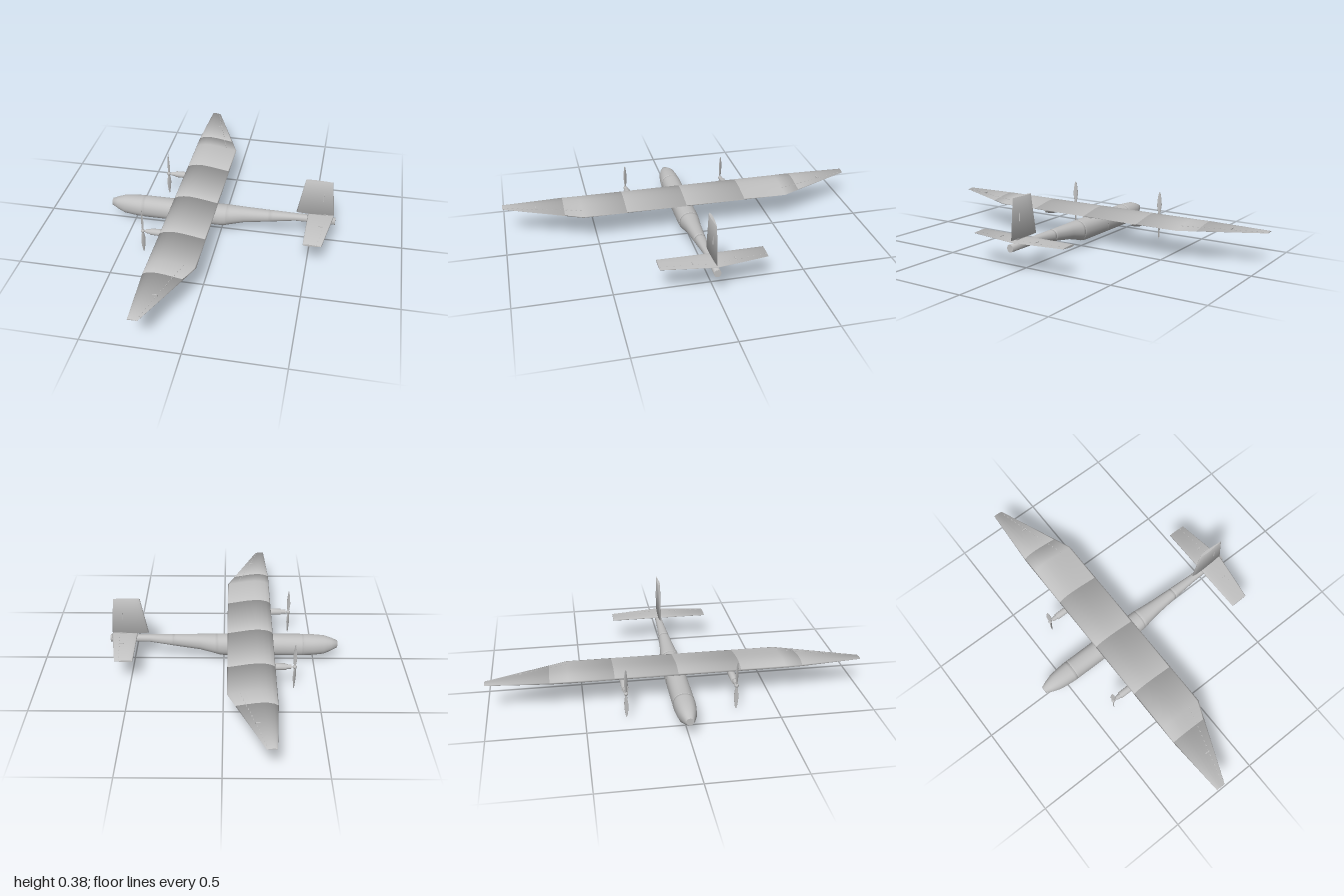
import * as THREE from 'three';

const grey = new THREE.MeshStandardMaterial({ color: 0xc0c0c0 });
grey.name = 'airframe grey';

// Closed skin through equal-sized rings of [x, y, z] points, with flat end caps.
// soften leans the normals at the two ends toward the caps.
function loft(rings, soften = 0) {
  const n = rings[0].length, last = rings.length - 1;
  const pos = rings.flat(), index = [];
  for (let r = 0; r < last; r++) {
    for (let i = 0; i < n; i++) {
      const a = r * n + i, b = r * n + (i + 1) % n;
      index.push(a, b, a + n, b, b + n, a + n);
    }
  }
  const centres = [];
  for (const r of [0, last]) {
    const c = pos.length;
    centres.push(c);
    pos.push([0, 1, 2].map(k => rings[r].reduce((s, p) => s + p[k], 0) / n), ...rings[r]);
    for (let i = 0; i < n; i++) {
      const a = c + 1 + i, b = c + 1 + (i + 1) % n;
      if (r) index.push(c, a, b); else index.push(c, b, a);
    }
  }
  // Turn the skin outward if its signed volume is negative
  const v = pos.map(p => new THREE.Vector3(...p));
  let volume = 0;
  for (let i = 0; i < index.length; i += 3) {
    volume += v[index[i]].dot(v[index[i + 1]].clone().cross(v[index[i + 2]]));
  }
  if (volume < 0) index.reverse();
  const g = new THREE.BufferGeometry();
  g.setAttribute('position', new THREE.Float32BufferAttribute(pos.flat(), 3));
  g.setIndex(index);
  g.computeVertexNormals();
  const N = g.attributes.normal;
  const m = new THREE.Vector3(), cap = new THREE.Vector3();
  centres.forEach((c, e) => {
    cap.fromBufferAttribute(N, c);
    for (let i = e * last * n; i < e * last * n + n; i++) {
      m.fromBufferAttribute(N, i).addScaledVector(cap, soften).normalize();
      N.setXYZ(i, m.x, m.y, m.z);
    }
  });
  return g;
}

function add(parent, name, geometry, x = 0, y = 0, z = 0) {
  const mesh = new THREE.Mesh(geometry, grey);
  mesh.name = name;
  mesh.position.set(x, y, z);
  parent.add(mesh);
  return mesh;
}

// Oval body along x; stations are [x, bottom, top, half width]
function hull(stations, soften, power = 1) {
  const bend = t => Math.sign(t) * Math.abs(t) ** power;
  return loft(stations.map(([x, lo, hi, w]) => Array.from({ length: 28 }, (_, i) => {
    const a = i / 28 * Math.PI * 2;
    return [x, (lo + hi) / 2 + (hi - lo) / 2 * bend(Math.sin(a)), w * bend(Math.cos(a))];
  })), soften);
}

// Aerofoil outline as [chord fraction, height in chords]
const wingFoil = [[0, 0], [0.02, 0.03], [0.1, 0.07], [0.22, 0.095], [0.36, 0.1], [0.55, 0.08],
  [0.78, 0.04], [0.97, 0.006], [1, 0], [0.97, -0.006], [0.75, -0.008], [0.45, -0.01],
  [0.2, -0.018], [0.06, -0.018]];
const tailFoil = [[0, 0], [0.03, 0.03], [0.15, 0.05], [0.35, 0.055], [0.65, 0.035], [0.97, 0.006],
  [1, 0], [0.97, -0.006], [0.65, -0.035], [0.35, -0.055], [0.15, -0.05], [0.03, -0.03]];

const lerp = THREE.MathUtils.lerp;
function wingRib(z) {
  const a = Math.abs(z);
  const lead = a < 0.67 ? -0.27 : lerp(-0.27, -0.25, (a - 0.67) / 0.33);
  const out = Math.max(0, (a - 0.575) / 0.425);
  const trail = lerp(-0.02, -0.2, out), y = lerp(0.163, 0.172, out);
  return wingFoil.map(([t, h]) => [lerp(lead, trail, t), y + h * (trail - lead), z]);
}

function propeller() {
  const group = new THREE.Group();
  group.name = 'propeller';
  // Blade stations: [radius, half chord, half thickness, pitch]
  const blade = loft([[0.004, 0.005, 0.004, 0.9], [0.03, 0.01, 0.003, 0.85], [0.06, 0.014, 0.0025, 0.75],
    [0.095, 0.011, 0.002, 0.65], [0.125, 0.006, 0.0015, 0.55], [0.136, 0.002, 0.001, 0.5]]
    .map(([r, c, t, p]) => Array.from({ length: 12 }, (_, i) => {
      const a = i / 12 * Math.PI * 2, u = c * Math.cos(a), w = t * Math.sin(a);
      return [u * Math.sin(p) + w * Math.cos(p), r, u * Math.cos(p) - w * Math.sin(p)];
    })));
  add(group, 'upperBlade', blade);
  add(group, 'lowerBlade', blade).rotation.x = Math.PI;
  add(group, 'spinner', new THREE.SphereGeometry(0.011, 16, 12));
  add(group, 'shaft', new THREE.CylinderGeometry(0.005, 0.005, 0.03, 12), 0.012).rotation.z = Math.PI / 2;
  return group;
}

export function createModel() {
  const plane = new THREE.Group();
  plane.name = 'twinPropPlane';

  // Fuselage, in five joined sections
  const body = [
    ['nose', [[-0.63, 0.079, 0.118, 0.019], [-0.595, 0.06, 0.132, 0.034], [-0.555, 0.042, 0.145, 0.047],
      [-0.5, 0.037, 0.149, 0.054], [-0.455, 0.034, 0.151, 0.057], [-0.44, 0.033, 0.151, 0.057]]],
    ['forwardFuselage', [[-0.44, 0.033, 0.151, 0.057], [-0.43, 0.033, 0.151, 0.057],
      [-0.21, 0.033, 0.151, 0.057], [-0.2, 0.033, 0.151, 0.057]]],
    ['midFuselage', [[-0.2, 0.033, 0.151, 0.057], [-0.19, 0.033, 0.151, 0.057],
      [0, 0.033, 0.151, 0.057], [0.025, 0.037, 0.151, 0.056], [0.035, 0.04, 0.151, 0.055]]],
    ['rearFuselage', [[0.035, 0.04, 0.151, 0.055], [0.05, 0.045, 0.151, 0.053], [0.13, 0.067, 0.151, 0.042],
      [0.26, 0.086, 0.151, 0.032], [0.275, 0.088, 0.151, 0.031]]],
    ['tailBoom', [[0.275, 0.088, 0.151, 0.031], [0.29, 0.091, 0.151, 0.03], [0.41, 0.111, 0.151, 0.022],
      [0.5, 0.111, 0.151, 0.019], [0.628, 0.111, 0.151, 0.018]]],
  ];
  for (const [name, stations] of body) add(plane, name, hull(stations, 0.5, 0.9));

  // Wing, in six panels from tip to tip
  const cuts = [[-1, -0.67], [-0.67, -0.575, -0.335], [-0.335, 0], [0, 0.335], [0.335, 0.575, 0.67], [0.67, 1]];
  cuts.forEach((zs, i) => add(plane, 'wingPanel' + (i + 1), loft(zs.map(wingRib), 0.8)));

  // Pylon saddle under the wing centre
  add(plane, 'wingSaddle', new THREE.BoxGeometry(0.19, 0.02, 0.05), -0.15, 0.153, 0);

  // Tailplane and fin
  add(plane, 'tailplane', loft([[-0.277, 0.575], [0, 0.618], [0.277, 0.575]].map(([z, trail]) =>
    tailFoil.map(([t, h]) => [lerp(0.478, trail, t), 0.158 + h * 0.1, z])), 0.7));
  add(plane, 'fin', loft([[0.167, 0.415, 0.618], [0.378, 0.455, 0.6]].map(([y, lead, trail]) =>
    tailFoil.map(([t, h]) => [lerp(lead, trail, t), y, h * 0.14])), 0.4));
  add(plane, 'finMount', new THREE.BoxGeometry(0.09, 0.02, 0.008), 0.53, 0.16, 0);
  for (const s of [-1, 1]) {
    add(plane, 'rudderHorn', new THREE.BoxGeometry(0.003, 0.045, 0.004), 0.556, 0.278, s * 0.007);
  }

  for (const s of [-1, 1]) {
    // Engine nacelle and propeller
    const engine = new THREE.Group();
    engine.name = s > 0 ? 'leftEngine' : 'rightEngine';
    engine.position.z = s * 0.288;
    add(engine, 'motor', hull([[-0.357, 0.126, 0.148, 0.011], [-0.328, 0.124, 0.15, 0.013]], 0));
    add(engine, 'nacelle', hull([[-0.33, 0.12, 0.154, 0.018], [-0.27, 0.119, 0.156, 0.019],
      [-0.2, 0.119, 0.16, 0.019], [-0.13, 0.122, 0.165, 0.018], [-0.07, 0.137, 0.164, 0.013],
      [-0.058, 0.147, 0.162, 0.008]], 0.2));
    const prop = propeller();
    prop.position.set(-0.374, 0.136, 0);
    engine.add(prop);
    plane.add(engine);

    // Hinge studs and control horns of the ailerons and elevators
    const stud = new THREE.BoxGeometry(0.003, 0.003, 0.01);
    for (let i = 0; i < 16; i++) {
      const t = i / 15;
      add(plane, 'aileronHinge', stud, lerp(-0.085, -0.2, t), lerp(0.176, 0.175, t), s * lerp(0.58, 0.97, t));
      if (i % 2) add(plane, 'elevatorHinge', stud, lerp(0.578, 0.55, t), 0.16, s * lerp(0.03, 0.27, t));
    }
    add(plane, 'aileronHorn', new THREE.BoxGeometry(0.025, 0.008, 0.005), -0.165, 0.178, s * 0.82);
    add(plane, 'elevatorHorn', new THREE.BoxGeometry(0.025, 0.01, 0.005), 0.555, 0.16, s * 0.11);
  }
  return plane;
}
